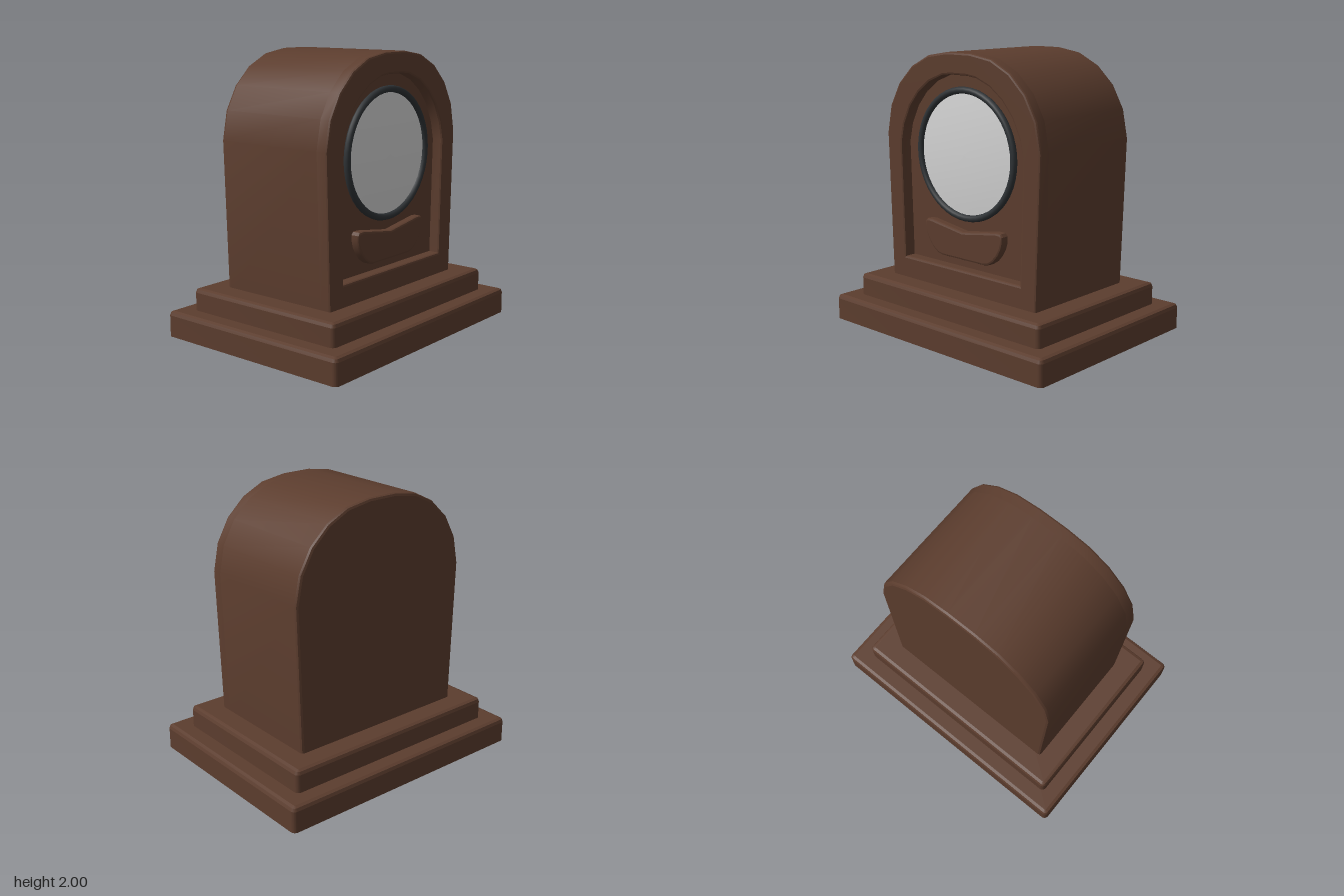
import * as THREE from 'three';
import { toCreasedNormals } from 'three/addons/utils/BufferGeometryUtils.js';

const wood = new THREE.MeshStandardMaterial({ color: 0x5c3d2e });
wood.name = 'brown wood';
const metal = new THREE.MeshStandardMaterial({ color: 0x2e3235 });
metal.name = 'dark metal';
const enamel = new THREE.MeshStandardMaterial({ color: 0xd4d4d4 });
enamel.name = 'pale dial';

// Closed outline from its right half, listed bottom to top and mirrored.
function mirrored(half) {
  const left = half.filter(([u]) => u > 0).reverse().map(([u, v]) => [-u, v]);
  return [...half, ...left].map(([u, v]) => new THREE.Vector2(u, v));
}

// Extrusion from z = 0 to z = height: flat back, rounded edge at the front.
function slab(shape, height, bevel) {
  const geo = new THREE.ExtrudeGeometry(shape, {
    depth: height - bevel, bevelThickness: bevel, bevelSize: bevel,
    bevelOffset: -bevel, bevelSegments: 2, curveSegments: 6,
  });
  const pos = geo.attributes.position;
  for (let i = 0; i < pos.count; i++) pos.setZ(i, Math.max(0, pos.getZ(i)));
  return toCreasedNormals(geo, 0.37);
}

function roundedRect(hw, hd, r) {
  const s = new THREE.Shape();
  s.absarc(hw - r, hd - r, r, 0, Math.PI / 2);
  s.absarc(r - hw, hd - r, r, Math.PI / 2, Math.PI);
  s.absarc(r - hw, r - hd, r, Math.PI, Math.PI * 1.5);
  s.absarc(hw - r, r - hd, r, Math.PI * 1.5, Math.PI * 2);
  return s;
}

export function createModel() {
  const model = new THREE.Group();
  model.name = 'mantelClock';
  const add = (parent, name, geo, mat) => {
    const mesh = new THREE.Mesh(geo, mat);
    mesh.name = name;
    parent.add(mesh);
    return mesh;
  };

  // Stepped plinth
  const tiers = [['lowerPlinth', 0.77, 1.0, 0, 0.185], ['upperPlinth', 0.64, 0.868, 0.185, 0.16]];
  for (const [name, hw, hd, y, h] of tiers) {
    const geo = slab(roundedRect(hw, hd, 0.035), h, 0.03);
    add(model, name, geo.rotateX(-Math.PI / 2), wood).position.y = y;
  }

  // Case, built facing +z and turned so that the dial faces +x
  const clock = new THREE.Group();
  clock.name = 'clockCase';
  clock.rotation.y = Math.PI / 2;
  model.add(clock);

  const outer = mirrored([[0.693, 0.3], [0.727, 1.395], [0.687, 1.597], [0.595, 1.762],
    [0.46, 1.89], [0.298, 1.97], [0.11, 2.0]]);
  const inner = mirrored([[0.555, 0.5], [0.577, 1.34], [0.548, 1.47], [0.482, 1.605],
    [0.392, 1.71], [0.282, 1.79], [0.155, 1.84], [0.075, 1.85]]);
  const panelZ = 0.385;

  const back = add(clock, 'caseBody', slab(new THREE.Shape(outer), 0.47 + panelZ, 0.02), wood);
  back.rotation.y = Math.PI;
  back.position.z = panelZ;

  const frame = new THREE.Shape(outer);
  frame.holes.push(new THREE.Path(inner));
  add(clock, 'frontFrame', slab(frame, 0.47 - panelZ, 0.015), wood).position.z = panelZ;

  // Raised plaque under the dial
  const plaque = mirrored([[0.2, 0.565], [0.245, 0.575], [0.29, 0.605], [0.33, 0.65], [0.358, 0.7],
    [0.372, 0.75], [0.372, 0.79], [0.355, 0.81], [0.31, 0.812], [0, 0.765]]);
  add(clock, 'plaque', slab(new THREE.Shape(plaque), 0.06, 0.015), wood).position.z = panelZ;

  // Dial: shallow dome inside a round bezel
  const dome = [];
  for (let i = 0; i <= 6; i++) {
    const r = 0.44 * (1 - i / 6);
    dome.push(new THREE.Vector2(r, 0.025 * (1 - (r / 0.44) ** 2)));
  }
  const dial = add(clock, 'dial', new THREE.LatheGeometry(dome, 48).rotateX(Math.PI / 2), enamel);
  dial.position.set(0, 1.303, 0.4);
  const bezel = add(clock, 'bezel', new THREE.TorusGeometry(0.443, 0.024, 12, 48), metal);
  bezel.position.set(0, 1.303, 0.404);

  return model;
}
